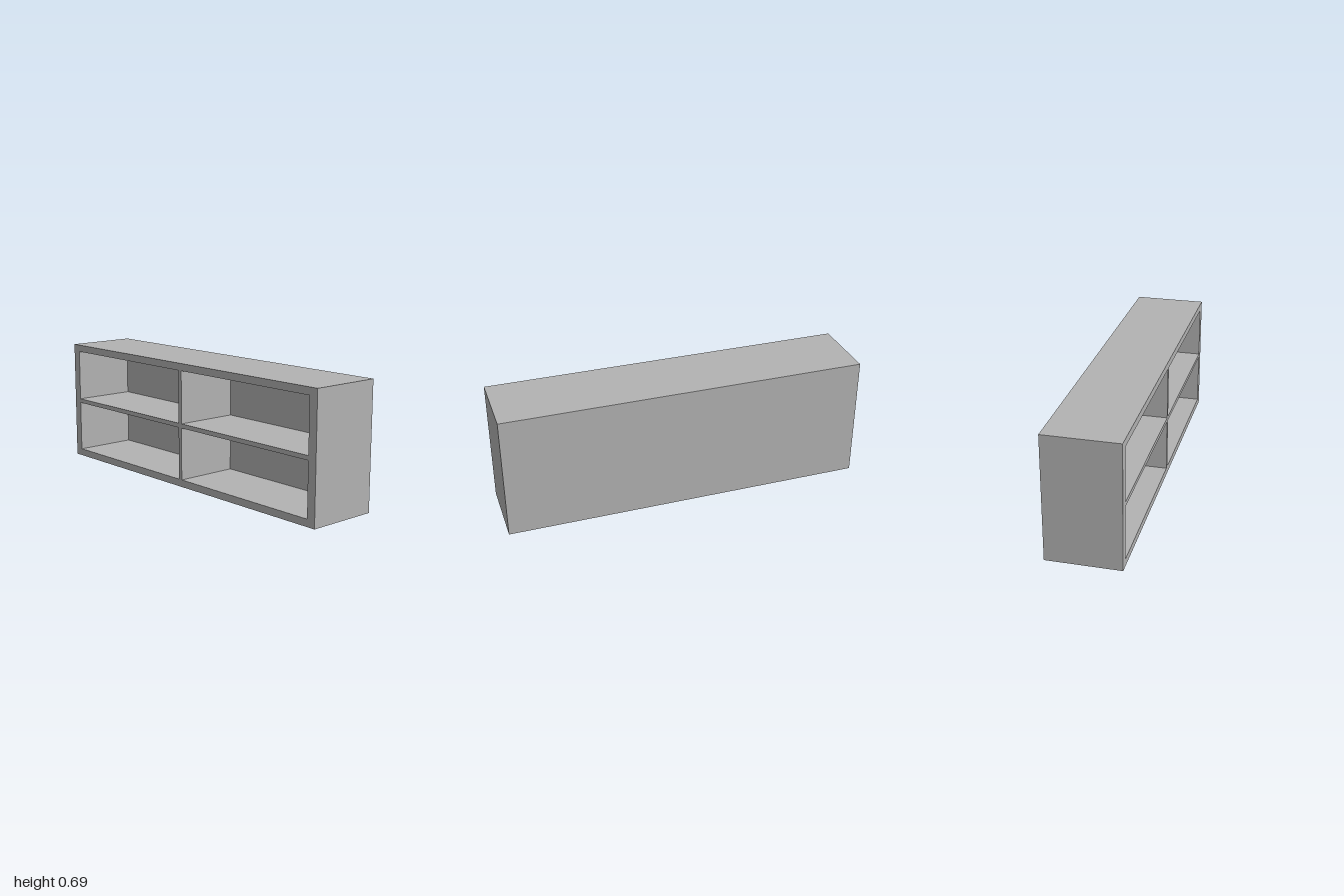
import * as THREE from 'three';

const WIDTH = 2, HEIGHT = 0.685, DEPTH = 0.4;
const BACK = 0.04;      // back panel thickness
const SIDE = 0.05;      // side wall thickness
const RAIL = 0.04;      // top and bottom thickness
const DIVIDER = 0.024;  // upright and shelf thickness

function addRect(path, x0, y0, x1, y1) {
  path.moveTo(x0, y0);
  path.lineTo(x1, y0);
  path.lineTo(x1, y1);
  path.lineTo(x0, y1);
  path.closePath();
  return path;
}

export function createModel() {
  const group = new THREE.Group();
  group.name = 'shelfUnit';
  const grey = new THREE.MeshStandardMaterial({ color: 0xb2b2b2 });
  grey.name = 'plain grey';

  // Outer case with four open compartments, two by two
  const outline = addRect(new THREE.Shape(), -WIDTH / 2, 0, WIDTH / 2, HEIGHT);
  const cellW = (WIDTH - 2 * SIDE - DIVIDER) / 2;
  const cellH = (HEIGHT - 2 * RAIL - DIVIDER) / 2;
  for (let col = 0; col < 2; col++) {
    for (let row = 0; row < 2; row++) {
      const x = -WIDTH / 2 + SIDE + col * (cellW + DIVIDER);
      const y = RAIL + row * (cellH + DIVIDER);
      outline.holes.push(addRect(new THREE.Path(), x, y, x + cellW, y + cellH));
    }
  }
  const frame = new THREE.Mesh(
    new THREE.ExtrudeGeometry(outline, { depth: DEPTH - BACK, bevelEnabled: false }), grey);
  frame.name = 'frameWithShelves';
  frame.position.z = -DEPTH / 2 + BACK;
  group.add(frame);

  // Closed back
  const back = new THREE.Mesh(new THREE.BoxGeometry(WIDTH, HEIGHT, BACK), grey);
  back.name = 'backPanel';
  back.position.set(0, HEIGHT / 2, -DEPTH / 2 + BACK / 2);
  group.add(back);

  return group;
}
